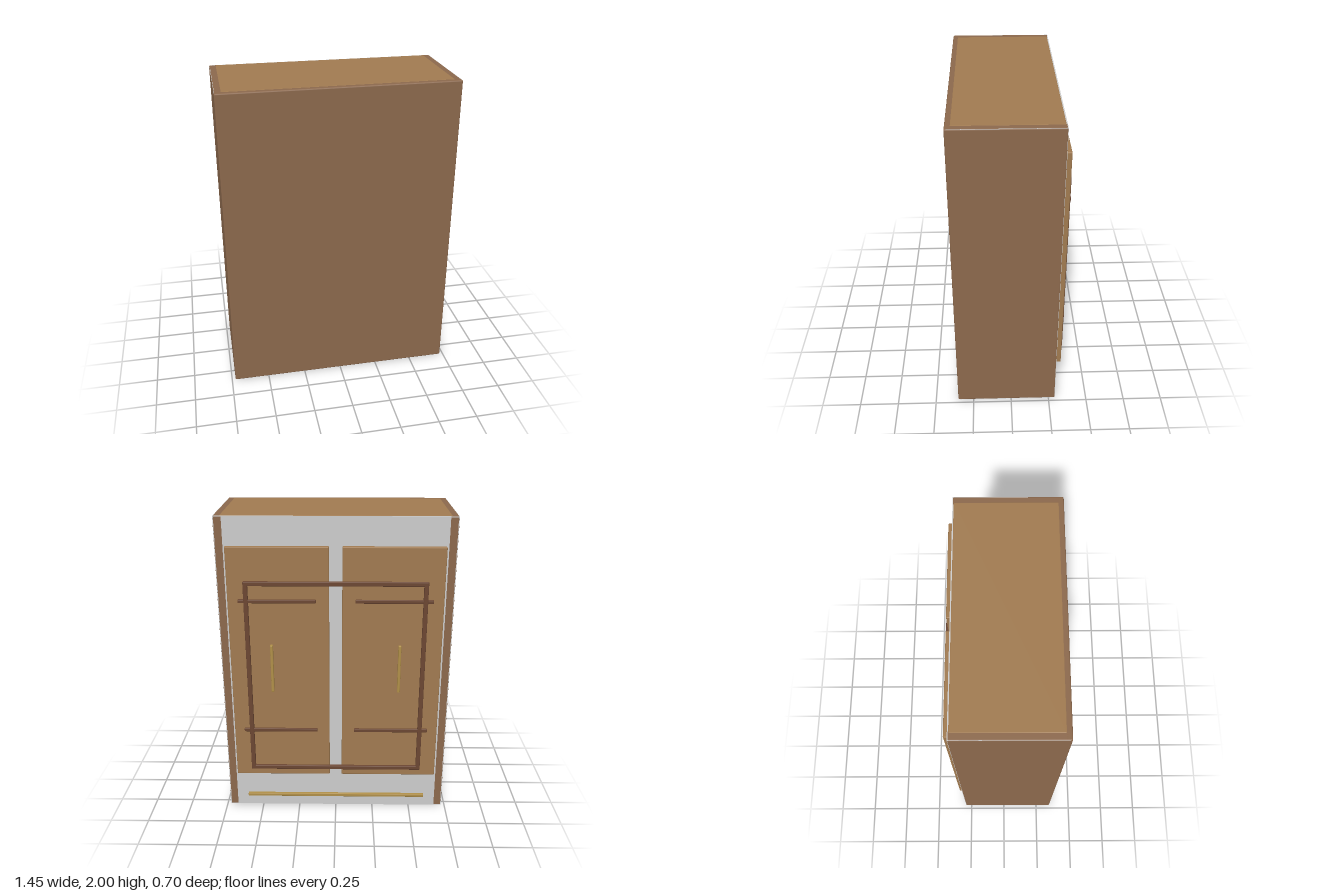
import * as THREE from 'three';
import { RoundedBoxGeometry } from 'three/addons/geometries/RoundedBoxGeometry.js';

const mat = (color) => new THREE.MeshStandardMaterial({ color });

export function createModel() {
  const root = new THREE.Group();
  root.name = 'wardrobe';
  const grey = mat(0xcccccc);
  const brown = mat(0x8b684c);
  const tan = mat(0xa07a50);
  const dark = mat(0x6b4632);
  const gold = mat(0xb08f48);

  // Box given by its min and max corners, with an optional softened edge
  function block(name, material, [x0, y0, z0], [x1, y1, z1], radius = 0, parent = root) {
    const size = [x1 - x0, y1 - y0, z1 - z0];
    const geometry = radius
      ? new RoundedBoxGeometry(...size, 2, radius)
      : new THREE.BoxGeometry(...size);
    const mesh = new THREE.Mesh(geometry, material);
    mesh.name = name;
    mesh.position.set((x0 + x1) / 2, (y0 + y1) / 2, (z0 + z1) / 2);
    parent.add(mesh);
    return mesh;
  }

  // Carcass with thin cladding panels; the doors face -z
  block('carcass', grey, [-0.725, 0.002, -0.292], [0.725, 1.998, 0.34]);
  block('rearPanel', brown, [-0.727, 0.001, 0.312], [0.727, 1.999, 0.352], 0.008);
  block('topPanel', tan, [-0.69, 1.94, -0.288], [0.69, 2, 0.325], 0.008);
  block('basePanel', dark, [-0.72, 0, -0.288], [0.72, 0.06, 0.325], 0.008);
  for (const s of [-1, 1]) {
    const a = s * 0.67, b = s * 0.727;
    block('sidePanel', brown,
      [Math.min(a, b), 0.001, -0.2925], [Math.max(a, b), 1.999, 0.345], 0.008);
  }

  // Doors, each with two strap bars and an upright handle
  for (const s of [-1, 1]) {
    const door = new THREE.Group();
    door.name = s > 0 ? 'leftDoor' : 'rightDoor';
    root.add(door);
    const span = (a, b) => (s > 0 ? [a, b] : [-b, -a]);
    const [d0, d1] = span(0.04, 0.662);
    block('doorPanel', tan, [d0, 0.265, -0.328], [d1, 1.822, -0.296], 0.006, door);
    const [b0, b1] = span(0.12, 0.597);
    for (const y of [0.605, 1.487]) {
      block('strapBar', dark, [b0, y - 0.011, -0.342], [b1, y + 0.011, -0.322], 0.004, door);
    }
    const [h0, h1] = span(0.391, 0.409);
    block('handle', gold, [h0, 0.885, -0.352], [h1, 1.203, -0.326], 0.005, door);
  }

  // Rectangular moulding running across both doors
  const frame = new THREE.Group();
  frame.name = 'mouldingFrame';
  root.add(frame);
  for (const y of [0.325, 1.598]) {
    block('frameRail', dark, [-0.562, y - 0.014, -0.344], [0.562, y + 0.014, -0.322], 0.005, frame);
  }
  for (const x of [-0.548, 0.548]) {
    block('frameStile', dark, [x - 0.014, 0.311, -0.344], [x + 0.014, 1.612, -0.322], 0.005, frame);
  }

  // Slim plinth strip below the doors
  block('plinthStrip', gold, [-0.6, 0.075, -0.31], [0.6, 0.097, -0.286], 0.004);

  return root;
}
